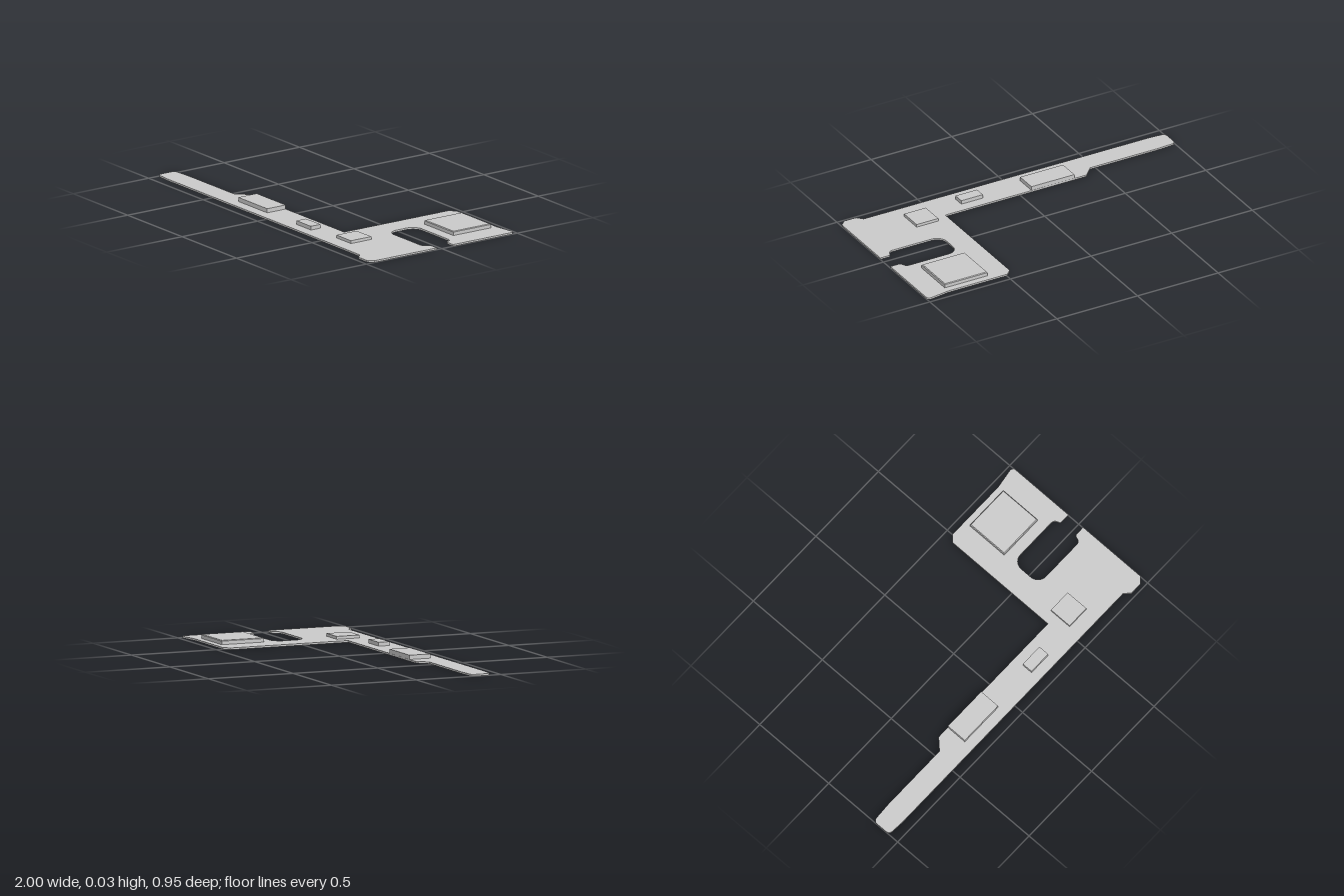
import * as THREE from 'three';

const T = 0.01; // board thickness
const material = new THREE.MeshStandardMaterial({ color: 0xcccccc, flatShading: true });

// Flat board with an open-ended slot; shape y is -z
function makeBoard() {
  const s = new THREE.Shape();
  const line = (pts) => pts.forEach(([x, z]) => s.lineTo(x, -z));
  const curve = (cx, cz, x, z) => s.quadraticCurveTo(cx, -cz, x, -z);

  // front edge and front right tab
  s.moveTo(-0.9, -0.445);
  line([[0.865, 0.445], [0.895, 0.477], [0.97, 0.477], [1, 0.447]]);
  // slot, open to the right
  line([[1, 0.032], [0.945, 0.032]]);
  curve(0.935, 0.035, 0.932, 0.05);
  curve(0.925, 0.073, 0.9, 0.073);
  line([[0.665, 0.073]]);
  s.absarc(0.66, -0.013, 0.06, -Math.PI / 2, -Math.PI, true);
  s.absarc(0.66, 0.053, 0.06, Math.PI, Math.PI / 2, true);
  line([[0.9, -0.113]]);
  curve(0.925, -0.113, 0.932, -0.09);
  curve(0.935, -0.075, 0.945, -0.075);
  // back right corner and back edge
  line([[1, -0.075], [1, -0.465]]);
  curve(0.995, -0.478, 0.975, -0.478);
  line([[0.865, -0.461], [0.497, -0.461], [0.465, -0.43]]);
  // inner corner, stepped arm and rounded tip
  line([[0.465, 0.262], [-0.41, 0.262], [-0.467, 0.32], [-0.88, 0.32], [-0.975, 0.325]]);
  curve(-1, 0.327, -1, 0.35);
  line([[-1, 0.415]]);
  curve(-1, 0.438, -0.975, 0.44);
  s.closePath();

  const g = new THREE.ExtrudeGeometry(s, { depth: T, bevelEnabled: false, curveSegments: 8 });
  g.rotateX(-Math.PI / 2);
  return g;
}

// Chip whose top rim is chamfered by c
function makeChip(x0, x1, z0, z1, top, c = 0) {
  const h = top - T;
  const w = x1 - x0, d = z1 - z0;
  const g = new THREE.BoxGeometry(w, h, d, 1, c ? 2 : 1, 1);
  const p = g.attributes.position;
  for (let i = 0; c && i < p.count; i++) {
    if (Math.abs(p.getY(i)) < 1e-6) p.setY(i, h / 2 - c);
    else if (p.getY(i) > 0) {
      p.setX(i, p.getX(i) * (1 - 2 * c / w));
      p.setZ(i, p.getZ(i) * (1 - 2 * c / d));
    }
  }
  g.translate((x0 + x1) / 2, T + h / 2, (z0 + z1) / 2);
  g.computeVertexNormals();
  return g;
}

export function createModel() {
  const model = new THREE.Group();
  model.name = 'circuitBoard';
  const add = (name, geometry) => {
    const mesh = new THREE.Mesh(geometry, material);
    mesh.name = name;
    model.add(mesh);
  };
  add('board', makeBoard());
  add('largeChip', makeChip(0.597, 0.863, -0.423, -0.175, 0.033, 0.004));
  add('longChip', makeChip(-0.336, -0.07, 0.263, 0.385, 0.033));
  add('smallChip', makeChip(0.198, 0.331, 0.322, 0.385, 0.031));
  add('squareChip', makeChip(0.53, 0.664, 0.225, 0.36, 0.026));
  return model;
}
